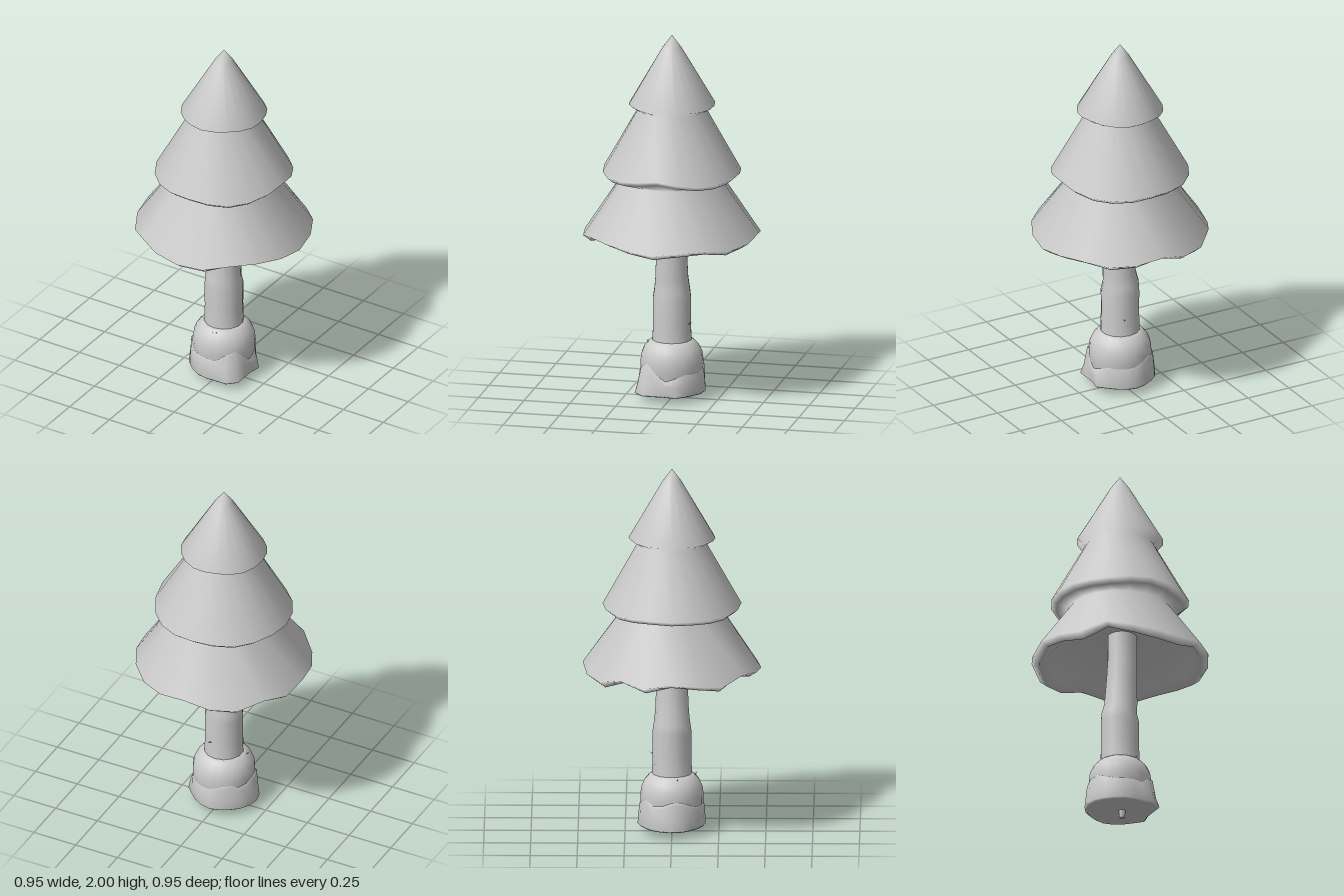
import * as THREE from 'three';
import { mergeVertices } from 'three/addons/utils/BufferGeometryUtils.js';

const material = new THREE.MeshStandardMaterial({ color: 0xcccccc, side: THREE.DoubleSide });

// Smooth turned form; rule(vertex, pointIndex, sideIndex) bends it out of round.
function turned(name, profile, sides, rule) {
  const points = profile.map(([r, y]) => new THREE.Vector2(r, y));
  let geo = new THREE.LatheGeometry(points, sides);
  const pos = geo.attributes.position;
  const v = new THREE.Vector3();
  for (let i = 0; i < pos.count; i++) {
    v.fromBufferAttribute(pos, i);
    if (rule) rule(v, i % points.length, Math.floor(i / points.length) % sides);
    pos.setXYZ(i, v.x, v.y, v.z);
  }
  geo.deleteAttribute('uv');
  geo.deleteAttribute('normal');
  geo = mergeVertices(geo, 1e-5);
  geo.computeVertexNormals();
  const mesh = new THREE.Mesh(geo, material);
  mesh.name = name;
  return mesh;
}

export function createModel() {
  const tree = new THREE.Group();
  tree.name = 'tree';

  // Rim heights of the three tiers, from the front round to the left
  const low = [.1, .1, .75, .7, .4, .1, .4, .5, .1, .3, .8, .1, -.1, .75, .1, .7, .4, 0, .9, .4];
  const mid = [.4, .2, 0, .2, .6, 1, .5, .1, 0, .1, .3, .2, 0, .1, .2, .1, .1, 0, 0, .2];
  const top = [0, .5, .8, .4, 0, .6, 1, .5, .2, 0, .5, .8, .3, 0, .4, .9, .6, .2, .5, .3];

  // Foliage in one skin: [radius, height, rim wave, wave depth]
  const foliage = [
    [0, 1.07, low, 0], [.25, 1.05, low, 0], [.4, .91, low, .05],
    [.435, .868, low, .06], [.475, .9, low, .045], [.275, 1.21, low, 0],
    [.34, 1.22, mid, .04], [.37, 1.245, mid, .04], [.183, 1.592, mid, 0],
    [.231, 1.617, top, .01], [.05, 1.933, top, 0], [0, 2, top, 0],
  ];
  tree.add(turned('foliage', foliage, 20, (v, j, i) => {
    const [, , wave, depth] = foliage[j];
    v.y += depth * wave[i];
  }));

  // Slightly crooked trunk
  const trunk = [[.108, .28], [.103, .42], [.104, .55], [.097, .6], [.09, .66], [.084, .8], [.08, .92], [.078, 1.07]];
  const lean = [0, 0, 0, -.005, .004, .01, .014, .014];
  tree.add(turned('trunk', trunk, 14, (v, j) => { v.x += lean[j]; }));

  // Rounded root mound
  tree.add(turned('rootMound', [
    [.155, .1], [.167, .16], [.168, .21], [.162, .25], [.147, .285], [.125, .31], [.108, .322], [.08, .325],
  ], 20));

  // Ragged skirt round the mound, with a scalloped upper edge and jutting lower corners
  const edge = [.165, .165, .2, .22, .175, .13, .15, .175, .17, .165, .17, .19, .2, .175, .18, .2, .2, .18, .165, .165];
  const flare = [.96, .99, 1.16, 1.16, .98, .93, 1.05, .95, .94, .96, .98, .95, .94, .97, 1, 1.02, 1, .95, .93, .95];
  const skirt = [[0, .042], [.178, .038], [.187, .046], [.181, .1], [.174, .15], [.16, .165]];
  tree.add(turned('rootSkirt', skirt, 20, (v, j, i) => {
    // the flare fades out towards the upper edge
    const f = 1 + (flare[i] - 1) * [0, 1, 1, .6, .2, 0][j];
    v.x *= f;
    v.z *= f;
    if (j === 4) v.y = edge[i] - .015;
    if (j === 5) v.y = edge[i];
    if (j > 0) v.x -= .005;
  }));

  // Short peg under the base
  const peg = new THREE.Mesh(new THREE.CylinderGeometry(.02, .014, .05, 6), material);
  peg.name = 'basePeg';
  peg.position.set(.01, .025, .005);
  tree.add(peg);

  // Tiny twigs: position, then outward direction
  [
    [.01, .305, .118, 0, .4, 1],
    [-.122, .31, .03, -1, .9, .1],
    [.03, .42, -.105, .2, .5, -1],
    [.03, .31, .125, .2, .8, 1],
  ].forEach(([x, y, z, dx, dy, dz]) => {
    const twig = new THREE.Mesh(new THREE.ConeGeometry(.005, .035, 4), material);
    twig.name = 'twig';
    twig.position.set(x, y, z);
    twig.quaternion.setFromUnitVectors(new THREE.Vector3(0, 1, 0), new THREE.Vector3(dx, dy, dz).normalize());
    tree.add(twig);
  });

  return tree;
}
